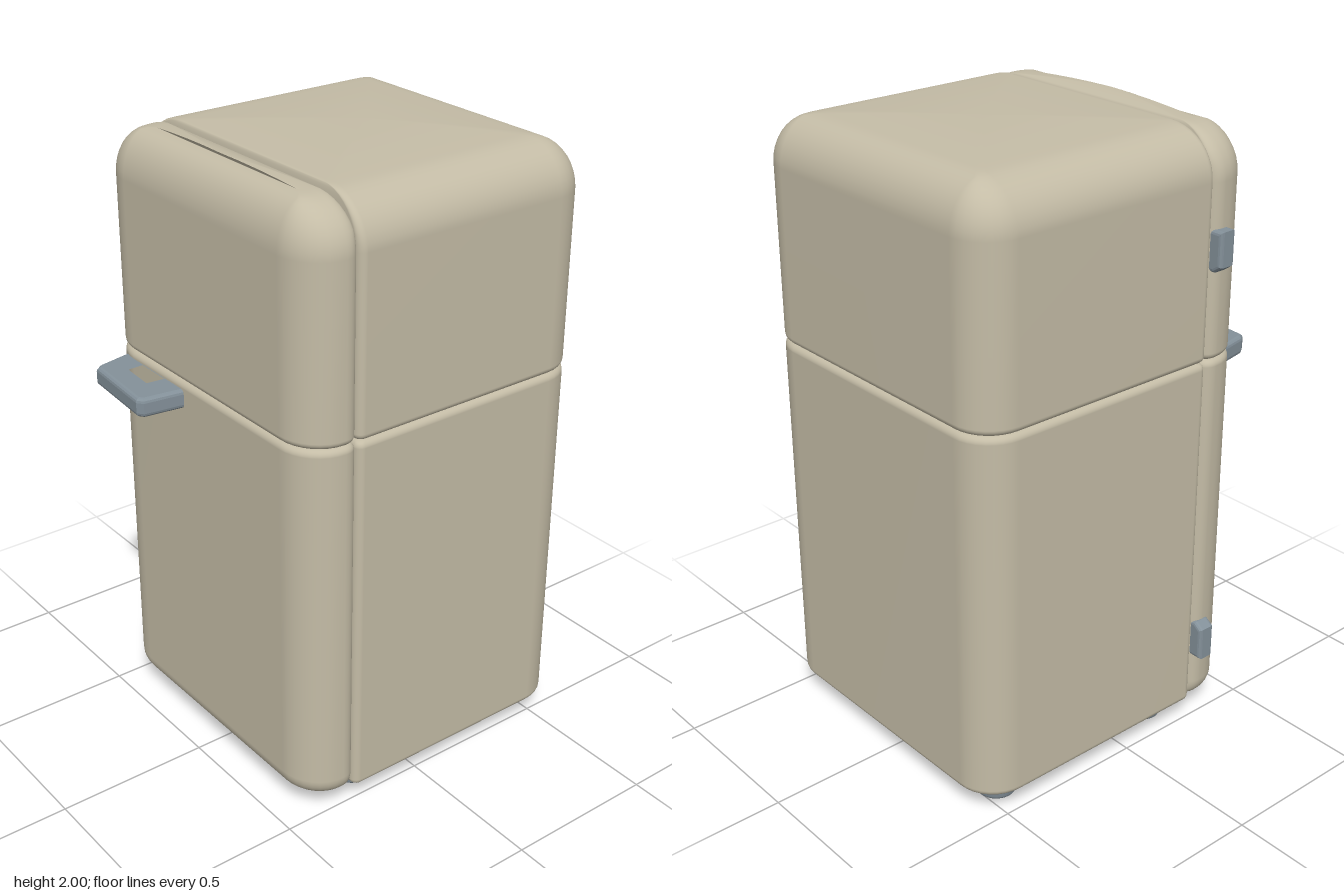
import * as THREE from 'three';

const enamel = new THREE.MeshStandardMaterial({ color: 0xc4bca6 });
enamel.name = 'cream enamel';
const metal = new THREE.MeshStandardMaterial({ color: 0x84919a });
metal.name = 'grey metal';

// One horizontal outline: a box with elliptical front and back corners, pulled in by k times the roll
function outline(box, roll, k) {
  const ix = roll.x * k, ib = roll.back * k, inf = roll.front * k;
  const x0 = box.x0 + ix, x1 = box.x1 - ix, zb = box.zb + ib, zf = box.zf - inf;
  const points = [];
  for (let c = 0; c < 4; c++) {
    const isFront = c < 2, isLeft = c === 0 || c === 3;
    const corner = isFront ? box.frontCorner : box.backCorner;
    const rx = Math.max(corner[0] - ix, 0.02);
    const rz = Math.max(corner[1] - (isFront ? inf : ib), 0.02);
    const cx = isLeft ? x1 - rx : x0 + rx;
    const cz = isFront ? zf - rz : zb + rz;
    for (let i = 0; i <= 8; i++) {
      const a = (c + i / 8) * Math.PI / 2;
      points.push([cx + rx * Math.cos(a), cz + rz * Math.sin(a)]);
    }
  }
  return points;
}

// Stack outlines from bottom to top with rolled edges and a gently crowned top
function rolledBox(box) {
  const rings = [], { y0, y1, bottom, top, crown = 0 } = box;
  const mx = (box.x0 + box.x1) / 2, mz = (box.zb + box.zf) / 2;
  const shrink = (pts, s) => pts.map(([x, z]) => [mx + (x - mx) * s, mz + (z - mz) * s]);
  const low = outline(box, bottom, 1), high = outline(box, top, 1);
  for (const s of [0, 0.5, 0.97]) rings.push([y0, shrink(low, s)]);
  for (let i = 0; i <= 8; i++) {
    const a = i / 8 * Math.PI / 2;
    rings.push([y0 + bottom.h * (1 - Math.cos(a)), outline(box, bottom, 1 - Math.sin(a))]);
  }
  for (let i = 0; i <= 10; i++) {
    const a = i / 10 * Math.PI / 2;
    rings.push([y1 - top.h * (1 - Math.sin(a)), outline(box, top, 1 - Math.cos(a))]);
  }
  for (const s of [0.97, 0.75, 0.5, 0.25, 0]) rings.push([y1 + crown * (1 - s * s), shrink(high, s)]);

  const positions = [], index = [], n = low.length;
  for (const [y, pts] of rings) for (const [x, z] of pts) positions.push(x, y, z);
  for (let j = 0; j < rings.length - 1; j++) {
    for (let i = 0; i < n; i++) {
      const a = j * n + i, b = j * n + (i + 1) % n;
      index.push(a, a + n, b, b, a + n, b + n);
    }
  }
  const geometry = new THREE.BufferGeometry();
  geometry.setAttribute('position', new THREE.Float32BufferAttribute(positions, 3));
  geometry.setIndex(index);
  geometry.computeVertexNormals();
  return geometry;
}

const toShape = (pts) => new THREE.Shape(pts.map(([x, y]) => new THREE.Vector2(x, y)));

// Plate with softened edges
function softPlate(shape, depth, bevel) {
  return new THREE.ExtrudeGeometry(shape, {
    depth: depth - 2 * bevel, bevelEnabled: true, bevelThickness: bevel,
    bevelSize: bevel, bevelOffset: -bevel, bevelSegments: 3,
  }).translate(0, 0, bevel);
}

export function createModel() {
  const model = new THREE.Group();
  model.name = 'refrigerator';
  const add = (name, geometry, material, parent = model) => {
    const mesh = new THREE.Mesh(geometry, material);
    mesh.name = name;
    parent.add(mesh);
    return mesh;
  };

  const seam = { h: 0.022, x: 0.022, back: 0.022, front: 0.022 };
  const cabinet = { x0: -0.51, x1: 0.535, zb: -0.588, zf: 0.275, backCorner: [0.13, 0.13], frontCorner: [0.025, 0.025] };
  const door = { x0: -0.51, x1: 0.532, zb: 0.27, zf: 0.446, backCorner: [0.035, 0.04], frontCorner: [0.14, 0.13] };

  // Cabinet in two stacked halves
  add('lowerCabinet', rolledBox({
    ...cabinet, y0: 0.07, y1: 1.277, bottom: seam, top: seam,
  }), enamel);
  add('upperCabinet', rolledBox({
    ...cabinet, y0: 1.277, y1: 1.985, crown: 0.014, bottom: seam,
    top: { h: 0.15, x: 0.16, back: 0.13, front: 0.015 },
  }), enamel);

  // Doors
  add('lowerDoor', rolledBox({
    ...door, y0: 0.07, y1: 1.277, top: seam,
    bottom: { h: 0.06, x: 0.045, back: 0.015, front: 0.05 },
  }), enamel);
  add('freezerDoor', rolledBox({
    ...door, y0: 1.277, y1: 1.98, crown: 0.014, bottom: seam,
    top: { h: 0.15, x: 0.16, back: 0.025, front: 0.1 },
  }), enamel);

  // Loop handle, drawn in plan and laid flat
  const loop = toShape([[-0.425, 0.425], [-0.4, 0.55], [-0.385, 0.57], [-0.125, 0.59], [-0.105, 0.575], [-0.085, 0.425]]);
  loop.holes.push(toShape([[-0.327, 0.435], [-0.325, 0.505], [-0.31, 0.515], [-0.195, 0.522], [-0.182, 0.512], [-0.175, 0.435]]));
  add('handle', softPlate(loop, 0.062, 0.014).rotateX(Math.PI / 2).translate(0, 1.252, 0), metal);

  // Hinges, the lower one turned upside down
  const hinges = new THREE.Group();
  hinges.name = 'hinges';
  model.add(hinges);
  for (const [name, y, flip] of [['upperHinge', 1.625, 1], ['lowerHinge', 0.3, -1]]) {
    const pts = [[-0.47, -0.065], [-0.512, -0.065], [-0.54, -0.045], [-0.54, 0.065], [-0.47, 0.065]];
    const shape = toShape(pts.map(([px, py]) => [px, py * flip]));
    add(name, softPlate(shape, 0.06, 0.012), metal, hinges).position.set(0, y, 0.278);
  }

  // Feet
  const feet = new THREE.Group();
  feet.name = 'feet';
  model.add(feet);
  const profile = [[0, 0], [0.052, 0], [0.06, 0.004], [0.064, 0.012], [0.072, 0.055], [0.072, 0.085]];
  const foot = new THREE.LatheGeometry(profile.map(([r, y]) => new THREE.Vector2(r, y)), 28);
  for (const x of [-0.38, 0.4]) {
    for (const z of [-0.445, 0.18]) add('foot', foot, metal, feet).position.set(x, 0, z);
  }
  return model;
}
